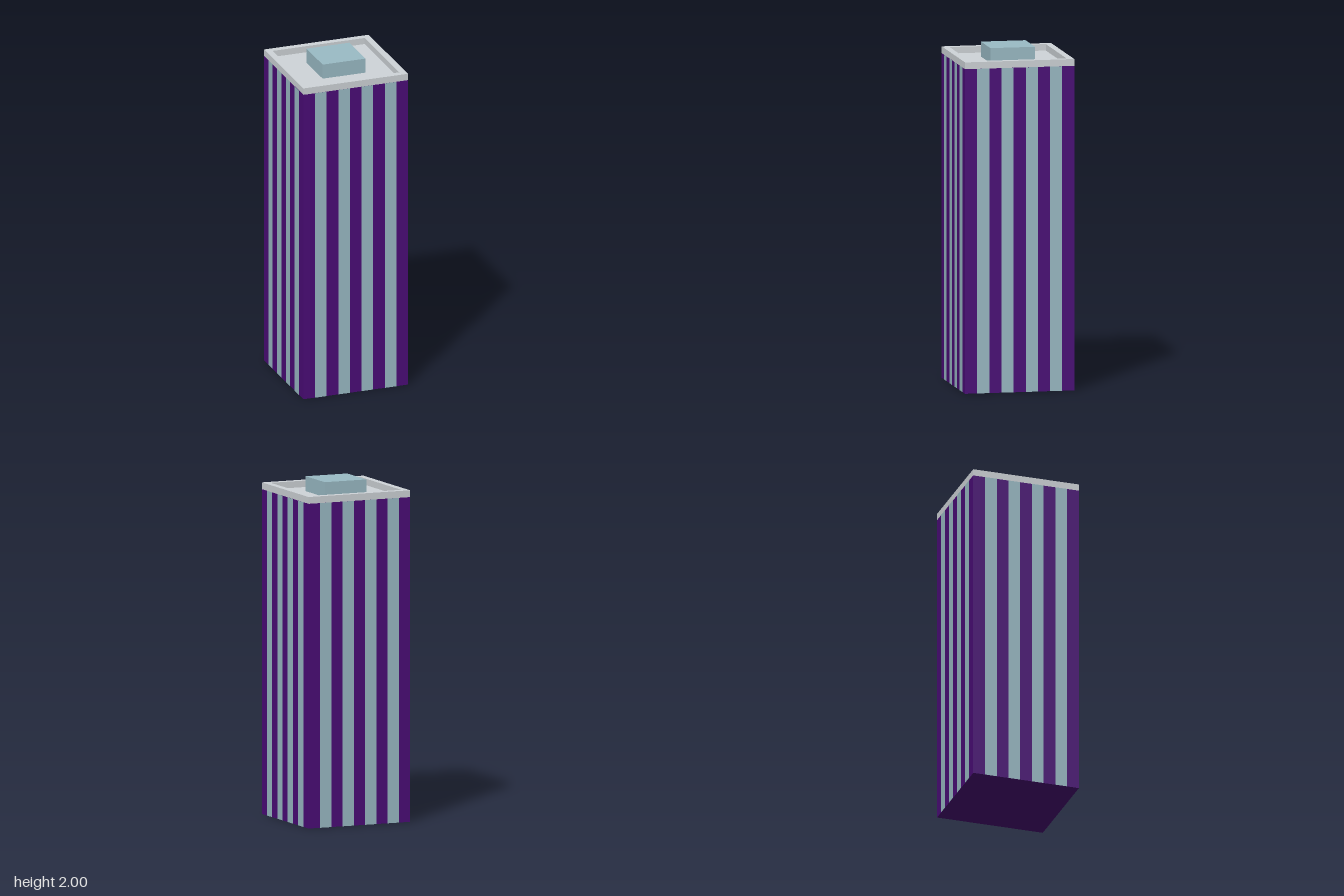
import * as THREE from 'three';

const HALF = 0.325, INNER = 0.286, ROOF = 1.91, PARAPET = 0.04, STRIPES = 9;

const mat = (color) => new THREE.MeshStandardMaterial({ color });

function add(parent, name, geometry, material, x = 0, y = 0, z = 0) {
  const mesh = new THREE.Mesh(geometry, material);
  mesh.name = name;
  mesh.position.set(x, y, z);
  parent.add(mesh);
  return mesh;
}

function square(path, h) {
  path.moveTo(-h, -h);
  path.lineTo(h, -h);
  path.lineTo(h, h);
  path.lineTo(-h, h);
  path.closePath();
  return path;
}

export function createModel() {
  const tower = new THREE.Group();
  tower.name = 'tower';
  const purple = mat(0x4b0c78), glass = mat(0x9bbcc6), concrete = mat(0xd0d5d9);

  // Tower body, whose faces show between the windows as piers
  add(tower, 'body', new THREE.BoxGeometry(HALF * 2, ROOF, HALF * 2), purple, 0, ROOF / 2, 0);

  // Four flush vertical window strips on each side
  const width = (HALF * 2) / STRIPES;
  const strip = new THREE.PlaneGeometry(width, ROOF);
  for (let side = 0; side < 4; side++) {
    const facade = new THREE.Group();
    facade.name = 'windowFacade';
    facade.rotation.y = (side * Math.PI) / 2;
    for (let i = 1; i < STRIPES; i += 2) {
      add(facade, 'windowStrip', strip, glass, -HALF + (i + 0.5) * width, ROOF / 2, HALF + 0.001);
    }
    tower.add(facade);
  }

  // Parapet ring around the recessed roof
  const ring = square(new THREE.Shape(), HALF);
  ring.holes.push(square(new THREE.Path(), INNER));
  const parapet = new THREE.ExtrudeGeometry(ring, { depth: PARAPET, bevelEnabled: false });
  parapet.rotateX(-Math.PI / 2);
  add(tower, 'parapet', parapet, concrete, 0, ROOF, 0);

  // Roof deck and rooftop plant room
  add(tower, 'roofDeck', new THREE.BoxGeometry(INNER * 2, 0.01, INNER * 2), concrete, 0, ROOF - 0.003, 0);
  add(tower, 'plantRoom', new THREE.BoxGeometry(0.266, 0.09, 0.266), glass, 0, 1.955, 0);

  return tower;
}
